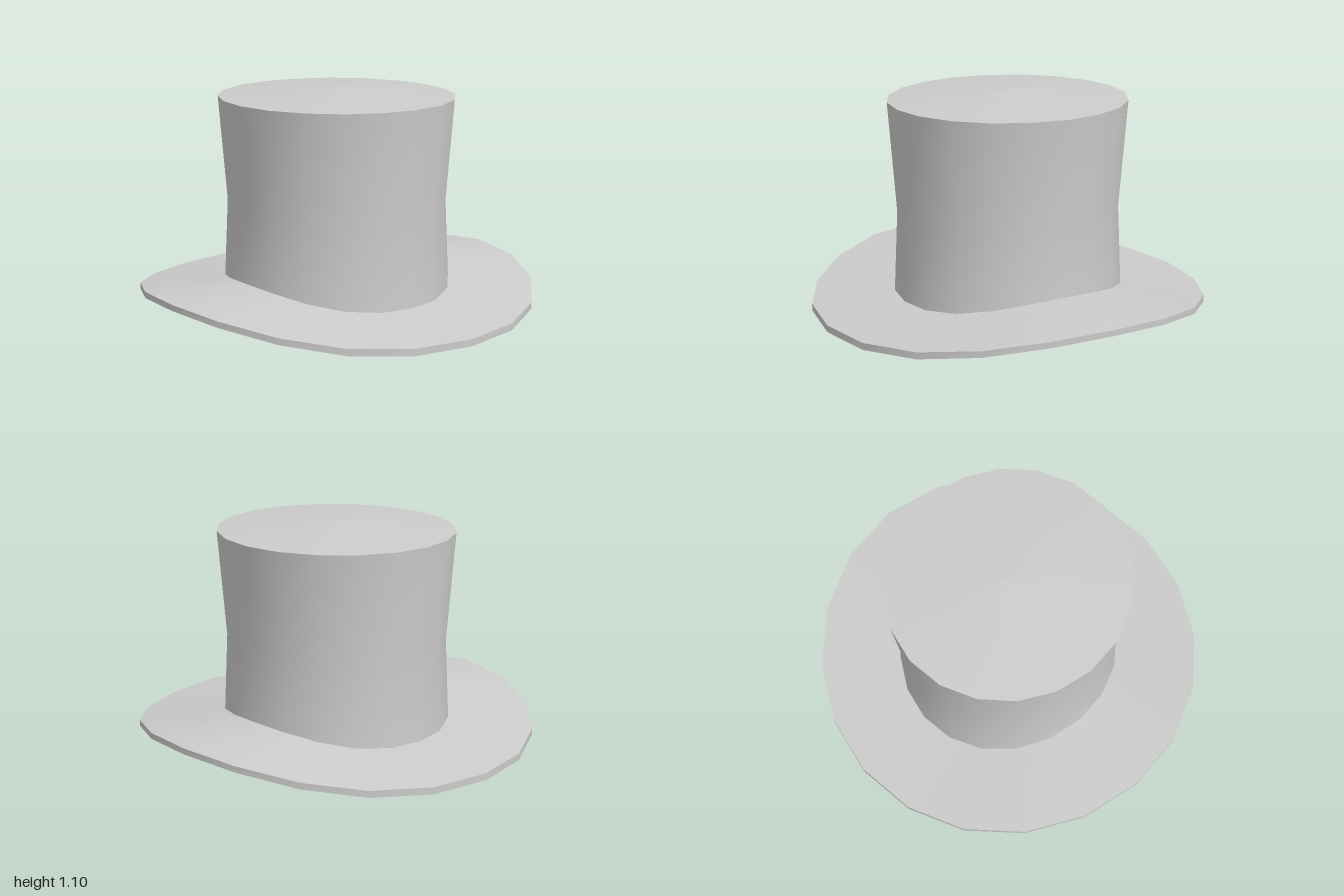
import * as THREE from 'three';

const SIDES = 20;
const material = new THREE.MeshStandardMaterial({ color: 0xcccccc, side: THREE.DoubleSide });

// Ring: radii in x and z, height at the front/back, extra lift towards the sides
const ring = (rx, rz, y, lift = 0) => ({ rx, rz, y, lift });

// Skin a list of rings into one smooth surface
function loft(name, rings) {
  const positions = [];
  const index = [];
  rings.forEach(({ rx, rz, y, lift }, i) => {
    for (let j = 0; j < SIDES; j++) {
      const a = (j / SIDES) * Math.PI * 2;
      const c = Math.cos(a);
      positions.push(rx * c, y + lift * Math.abs(c) ** 3, rz * Math.sin(a));
      if (i === 0) continue;
      const k = (j + 1) % SIDES;
      const lo = (i - 1) * SIDES;
      const hi = i * SIDES;
      index.push(lo + j, hi + j, lo + k, hi + j, hi + k, lo + k);
    }
  });
  const geometry = new THREE.BufferGeometry();
  geometry.setAttribute('position', new THREE.Float32BufferAttribute(positions, 3));
  geometry.setIndex(index);
  geometry.computeVertexNormals();
  const mesh = new THREE.Mesh(geometry, material);
  mesh.name = name;
  return mesh;
}

export function createModel() {
  const hat = new THREE.Group();
  hat.name = 'topHat';

  // Shared edges
  const outerTop = ring(1, 1, 0.035, 0.12);
  const outerBottom = ring(1, 1, 0, 0.125);
  const innerTop = ring(0.56, 0.585, 0.085, 0.09);
  const innerBottom = ring(0.56, 0.585, 0.01, 0.092);
  const crownTop = ring(0.585, 0.605, 1.055);

  // Brim, curled up at the sides, open in the middle
  const brim = new THREE.Group();
  brim.name = 'brim';
  brim.add(
    loft('brimTop', [outerTop, innerTop]),
    loft('brimEdge', [outerBottom, outerTop]),
    loft('brimUnderside', [innerBottom, outerBottom]),
    loft('headOpening', [innerTop, innerBottom]),
  );

  // Hollow crown with a slight waist and a shallow domed lid
  const crown = new THREE.Group();
  crown.name = 'crown';
  crown.add(
    loft('crownWall', [innerTop, ring(0.542, 0.565, 0.5, 0.05), crownTop]),
    loft('crownLid', [crownTop, ring(0.29, 0.3, 1.077), ring(0, 0, 1.095)]),
  );

  hat.add(brim, crown);
  return hat;
}
